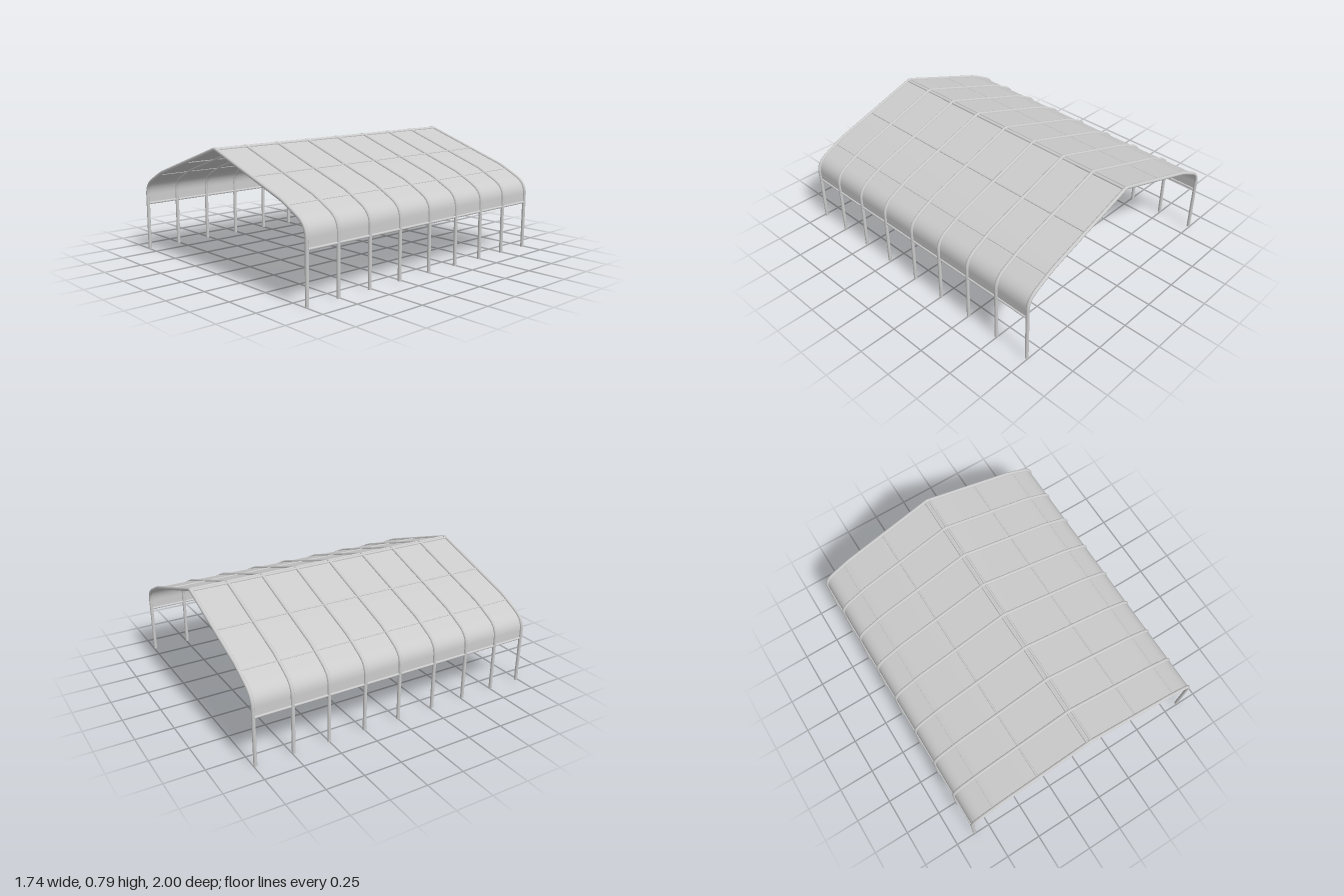
import * as THREE from 'three';

// Curve that passes straight through its points, one span per parameter step
class Polyline extends THREE.Curve {
  constructor(points) { super(); this.points = points; }
  getPoint(t, target = new THREE.Vector3()) {
    const n = this.points.length - 1;
    const i = Math.min(Math.floor(t * n + 1e-9), n - 1);
    return target.lerpVectors(this.points[i], this.points[i + 1], t * n - i);
  }
  getPointAt(t, target) { return this.getPoint(t, target); }
  getTangentAt(t, target) { return this.getTangent(t, target); }
}

const FRAME_R = 0.0115;
const EAVE_Y = 0.32;
const HALF_LENGTH = 0.988;
const FRAME_Z = [-0.988, -0.74, -0.499, -0.248, 0.003, 0.266, 0.516, 0.76, 0.988];

// Half profile from the ridge down to the top of the post
function halfProfile() {
  const eave = new THREE.CubicBezierCurve(
    new THREE.Vector2(0.775, 0.497), new THREE.Vector2(0.83, 0.47),
    new THREE.Vector2(0.857, 0.435), new THREE.Vector2(0.857, 0.38));
  return [
    new THREE.Vector2(0.012, 0.776),
    new THREE.Vector2(0.37, 0.655),
    new THREE.Vector2(0.645, 0.562),
    new THREE.Vector2(0.695, 0.538),
    ...eave.getPoints(10),
  ];
}

// Complete arch from one foot over the ridge to the other
function archPoints(footY) {
  const right = [...halfProfile(), new THREE.Vector2(0.857, footY)];
  const left = right.map((p) => new THREE.Vector2(-p.x, p.y)).reverse();
  return [...left, new THREE.Vector2(0, 0.778), ...right];
}

export function createModel() {
  const group = new THREE.Group();
  const metal = new THREE.MeshStandardMaterial({ color: 0xcccccc });
  const sheet = new THREE.MeshStandardMaterial({ color: 0xcccccc, side: THREE.DoubleSide });

  const add = (name, geometry, material, parent = group) => {
    const mesh = new THREE.Mesh(geometry, material);
    mesh.name = name;
    parent.add(mesh);
    return mesh;
  };

  // Bent tube frames with closed feet
  const path = archPoints(0).map((p) => new THREE.Vector3(p.x, p.y, 0));
  const tube = new THREE.TubeGeometry(new Polyline(path), path.length - 1, FRAME_R, 12);
  const foot = new THREE.CircleGeometry(FRAME_R, 12).rotateX(Math.PI / 2);
  FRAME_Z.forEach((z) => {
    const frame = new THREE.Group();
    frame.name = 'archFrame';
    frame.position.z = z;
    add('archTube', tube, metal, frame);
    for (const side of [-1, 1]) add('footCap', foot, metal, frame).position.x = side * 0.857;
    group.add(frame);
  });

  // Roof skin: the arch profile swept along z, split at the ridge to keep it sharp
  const skin = [...halfProfile(), new THREE.Vector2(0.857, EAVE_Y)];
  for (const side of [-1, 1]) {
    const outline = [new THREE.Vector2(0, 0.778), ...skin];
    const cover = new THREE.PlaneGeometry(1, 1, outline.length - 1, 1);
    const pos = cover.attributes.position;
    for (let i = 0; i < pos.count; i++) {
      const k = i % outline.length;
      const p = outline[side > 0 ? k : outline.length - 1 - k];
      pos.setXYZ(i, side * p.x, p.y, i < outline.length ? -HALF_LENGTH : HALF_LENGTH);
    }
    cover.computeVertexNormals();
    add('roofCover', cover, sheet);
  }

  // Lengthwise rails: ridge pair, mid roof, shoulder and eave on each side
  const rails = [
    ['ridgeRail', 0.013, 0.776, 0.009],
    ['midRail', 0.37, 0.655, 0.006],
    ['shoulderRail', 0.695, 0.538, 0.004],
    ['eaveRail', 0.857, EAVE_Y, 0.008],
  ];
  for (const [name, x, y, r] of rails) {
    const rail = new THREE.CylinderGeometry(r, r, 2 * HALF_LENGTH, 10).rotateX(Math.PI / 2);
    for (const side of [-1, 1]) add(name, rail, metal).position.set(side * x, y, 0);
  }

  return group;
}
